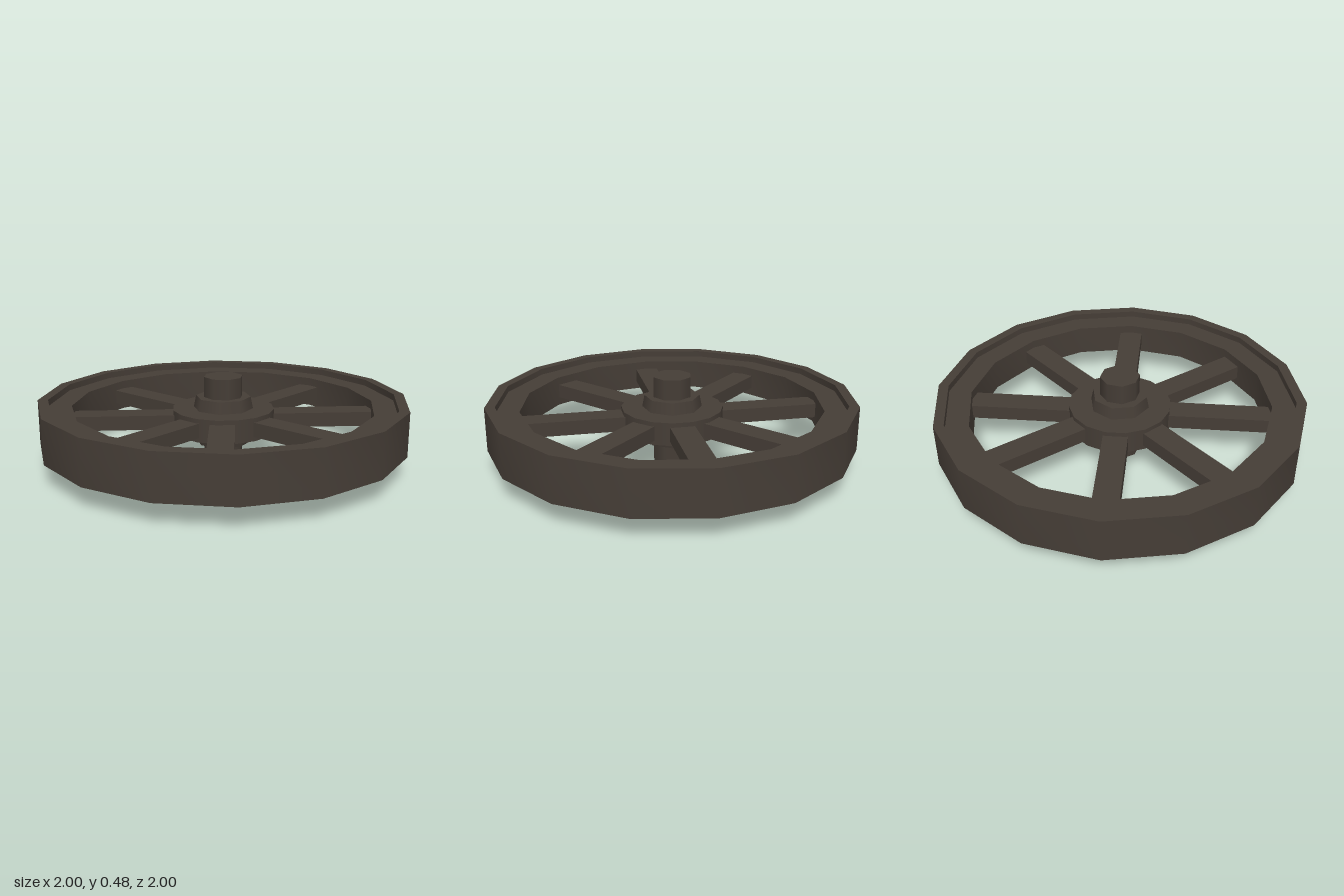
import * as THREE from 'three';
import { toCreasedNormals } from 'three/addons/utils/BufferGeometryUtils.js';

const SIDES = 16;
const MID = 0.24; // height of the wheel's middle plane
const rad = THREE.MathUtils.degToRad;

export function createModel() {
  const wheel = new THREE.Group();
  wheel.name = 'wheel';
  const darkWood = new THREE.MeshStandardMaterial({ color: 0x453d36 });
  darkWood.name = 'darkWood';

  function add(name, geometry, y = MID, turn = 0) {
    const mesh = new THREE.Mesh(geometry, darkWood);
    mesh.name = name;
    mesh.position.y = y;
    mesh.rotation.y = rad(turn);
    wheel.add(mesh);
    return mesh;
  }

  // Ring of rectangular section, smooth around and sharp at its edges
  function ring(inner, outer, height) {
    const h = height / 2;
    const profile = [[inner, -h], [outer, -h], [outer, h], [inner, h], [inner, -h]]
      .map(([r, y]) => new THREE.Vector2(r, y));
    return toCreasedNormals(new THREE.LatheGeometry(profile, SIDES), rad(30));
  }

  // Outer tyre and the slightly recessed rim inside it
  add('tyre', ring(0.945, 1, 0.24));
  add('rim', ring(0.82, 0.95, 0.17));

  // Four bars through the hub make eight spokes; one pair is a little askew
  for (const angle of [0, 45, 90, 130]) {
    add('spokePair', new THREE.BoxGeometry(1.64, 0.078, 0.132), MID, angle);
  }

  // Hub, with a tapered collar above and below
  add('hub', new THREE.CylinderGeometry(0.278, 0.278, 0.126, SIDES), MID, 11.25);
  for (const side of [1, -1]) {
    const collar = new THREE.CylinderGeometry(
      side > 0 ? 0.15 : 0.163, side > 0 ? 0.163 : 0.15, 0.065, 8);
    add(side > 0 ? 'upperCollar' : 'lowerCollar', collar, MID + side * 0.0945, -11);
  }

  // Axle stub through the middle
  add('axle', new THREE.CylinderGeometry(0.107, 0.107, 0.478, 8), 0.239, 11);

  return wheel;
}
